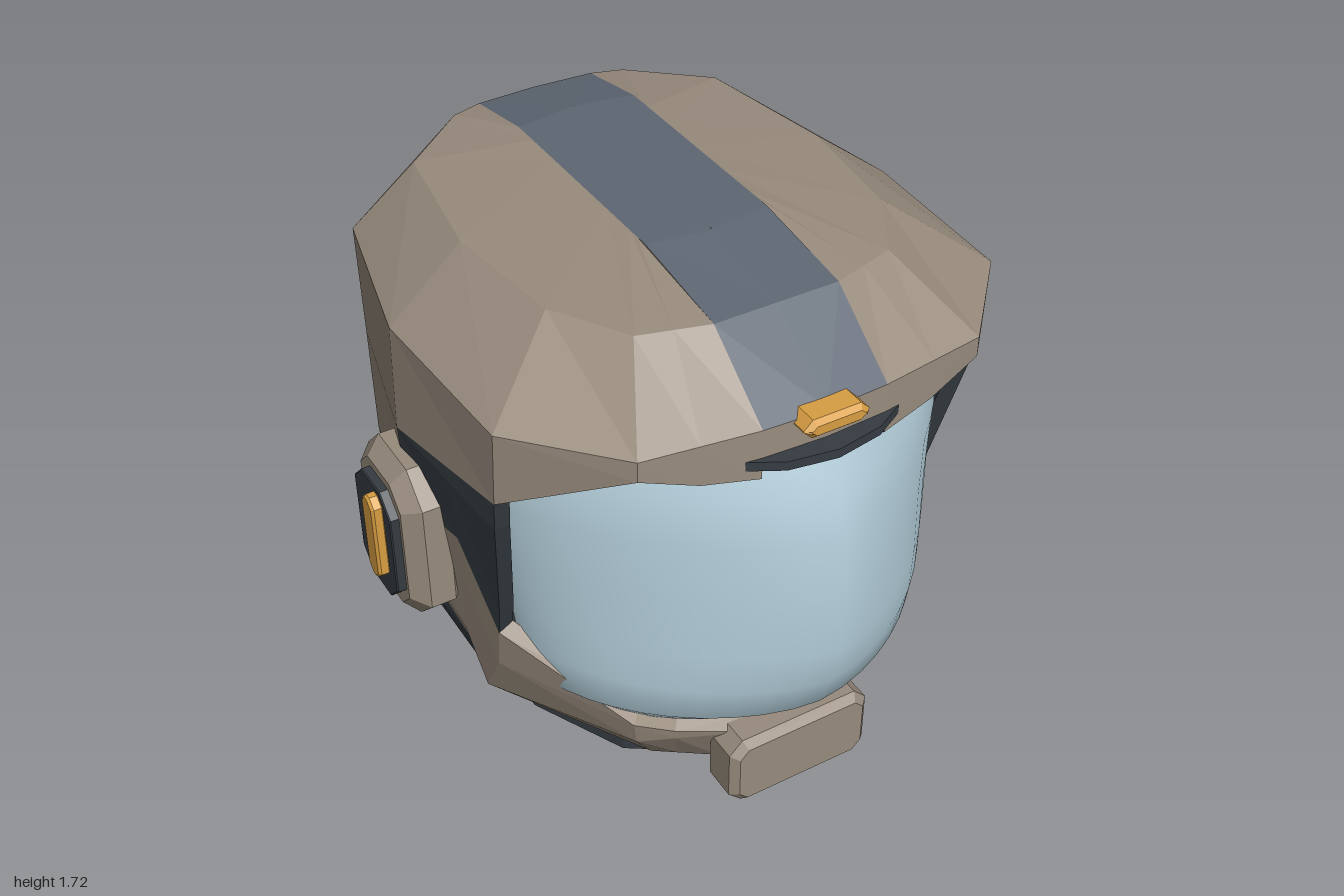
import * as THREE from 'three';

const mat = (name, color, side = THREE.DoubleSide) =>
  Object.assign(new THREE.MeshStandardMaterial({ color, side }), { name });
const mix = THREE.MathUtils.lerp;
const COLS = [0, 1, 2, 3, 4, 5, 6, 7, 8];

// Shell half outlines, columns running from front centre (0) round to back centre (8).
// Columns 1 and 7 keep to the stripe edge, so only the x of columns 2 to 6 is listed.
const outline = (y, xs, zs) => ({ y, points: [0, .2, ...xs, .2, 0].map((x, i) => [x, zs[i]]) });
const round = (y, rx, r, z) => ({ y, points: COLS.map((i) => [rx(i), z + r * Math.cos(i * Math.PI / 8)]) });
const RINGS = [
  round(.04, (i) => .36 * Math.sin(i * Math.PI / 8), .42, -.07),
  outline(.06, [.37, .5, .565, .45, .26], [.66, .62, .5, .25, -.2, -.48, -.64, -.68, -.71]),
  outline(.24, [.47, .75, .685, .575, .33], [.72, .71, .59, .14, -.2, -.57, -.755, -.79, -.805]),
  outline(.44, [.51, .76, .8, .7, .4], [.76, .74, .63, .26, -.2, -.65, -.86, -.9, -.905]),
  outline(.73, [.55, .78, .83, .73, .42], [.82, .81, .72, .34, -.15, -.64, -.86, -.9, -.905]),
  outline(1.13, [.55, .82, .86, .74, .42], [.83, .82, .76, .44, -.12, -.62, -.86, -.9, -.91]),
  outline(1.48, [.55, .82, .85, .73, .42], [.82, .81, .76, .47, -.12, -.66, -.91, -.96, -.96]),
  outline(1.67, [.41, .55, .6, .53, .3], [.56, .56, .5, .27, -.15, -.62, -.82, -.85, -.86]),
  round(1.72, (i) => (i % 8 ? .2 : 0), .415, -.185),
  round(1.721, () => 0, .415, -.185),
];

// Point on the shell at column u and height y
function surf(u, y) {
  let k = 0;
  while (k < RINGS.length - 2 && y > RINGS[k + 1].y) k++;
  const low = RINGS[k], high = RINGS[k + 1];
  const t = (y - low.y) / (high.y - low.y);
  const i = Math.min(7, Math.floor(u)), f = u - i;
  const at = (c) => mix(mix(low.points[i][c], low.points[i + 1][c], f),
    mix(high.points[i][c], high.points[i + 1][c], f), t);
  return [at(0), y, at(1)];
}
const inset = ([x, y, z]) => [x * .93, Math.min(y + .02, .85 + (y - .85) * .95), z * .95];

// Adds a quad and its mirror image
function quad(out, a, b, c, d) {
  const m = ([x, y, z]) => [-x, y, z];
  for (const t of [[a, b, c], [a, c, d], [m(c), m(b), m(a)], [m(d), m(c), m(a)]]) {
    const [p, q, r] = t.map((v) => new THREE.Vector3(...v));
    if (q.clone().sub(p).cross(r.clone().sub(p)).length() > 1e-7) out.push(...t.flat());
  }
}

// Panel from columns [u, low, high], split where it crosses the rings
function panel(out, cols, place = (p) => p) {
  const rows = cols.map(([u, lo, hi]) =>
    [lo, ...RINGS.map((r) => Math.min(hi, Math.max(lo, r.y))), hi].map((y) => place(surf(u, y))));
  for (let i = 0; i + 1 < rows.length; i++)
    for (let j = 0; j + 1 < rows[i].length; j++)
      quad(out, rows[i][j], rows[i + 1][j], rows[i + 1][j + 1], rows[i][j + 1]);
}

function flatGeometry(out) {
  const g = new THREE.BufferGeometry();
  g.setAttribute('position', new THREE.Float32BufferAttribute(out, 3));
  g.computeVertexNormals();
  return g;
}

// Bevelled plate with cut corners, growing along +z from its base
function plate(w, h, d, cut, bevel) {
  const x = w / 2, y = h / 2;
  const s = new THREE.Shape([[-x + cut, -y], [x - cut, -y], [x, -y + cut], [x, y - cut],
    [x - cut, y], [-x + cut, y], [-x, y - cut], [-x, -y + cut]].map((p) => new THREE.Vector2(...p)));
  return new THREE.ExtrudeGeometry(s, { depth: d - 2 * bevel, bevelEnabled: true, bevelSegments: 1,
    bevelSize: bevel, bevelThickness: bevel, bevelOffset: -bevel }).translate(0, 0, bevel);
}

// Flat slab of a plan shape (drawn with y = -z), standing on its base
const slab = (shape, height) =>
  new THREE.ExtrudeGeometry(shape, { depth: height, bevelEnabled: false }).rotateX(-Math.PI / 2);

export function createModel() {
  const model = new THREE.Group();
  model.name = 'helmet';
  const taupe = mat('taupe shell', 0x988b7d), dark = mat('dark panel', 0x353c42);
  const slate = mat('slate stripe', 0x5d6672), glass = mat('pale blue glass', 0xb5d0dc);
  const amber = mat('amber trim', 0xd89e42, THREE.FrontSide), black = mat('black base', 0x2e3032, THREE.FrontSide);
  const add = (name, geo, material, x = 0, y = 0, z = 0, ry = 0, parent = model) => {
    const mesh = new THREE.Mesh(geo, material);
    mesh.name = name;
    mesh.position.set(x, y, z);
    mesh.rotation.y = ry;
    parent.add(mesh);
  };

  // Shell panels, each listed as columns of [u, low, high]
  const T = 1.72;
  const panels = {
    hood: [taupe, [
      [[0, 1.36, 1.48], [1, 1.36, 1.48]],
      [[1, 1.32, T], [1.5, 1.35, T], [2, 1.415, T], [3, 1.23, T], [4, 1.13, T]],
      [4, 5, 6, 7].map((u) => [u, .73, T]),
      [[7, .73, 1.1], [8, .73, 1.1]]]],
    crownStripe: [slate, [
      [[0, 1.48, T], [1, 1.48, T]],
      [[7, 1.1, T], [8, 1.1, T]],
      COLS.map((u) => [u, T, 1.721])]],
    sidePanels: [dark, [[[3, .61, 1.23], [3.43, .89, 1.187], [4, .84, 1.13]]]],
    chinGuard: [taupe, [[[0, .04, .25], [1, .04, .25], [1.6, .04, .28], [2, .04, .34],
      [3, .24, .61], [3.43, .38, .89], [4, .56, .84]]]],
    lowerShell: [dark, [
      [[2, .04, .04], [3, .04, .24], [3.43, .04, .38], [4, .04, .56]],
      [4, 5, 6, 7, 8].map((u) => [u, .04, .73])]],
  };
  const liner = [];
  for (const [name, [material, parts]] of Object.entries(panels)) {
    const out = [];
    for (const cols of parts) {
      panel(out, cols);
      panel(liner, cols, inset);
    }
    add(name, flatGeometry(out), material);
  }
  add('liner', flatGeometry(liner), dark);

  // Thickness of the face opening edge
  const rim = (name, material, edge) => {
    const out = [];
    for (let i = 0; i + 1 < edge.length; i++) {
      const a = surf(...edge[i]), b = surf(...edge[i + 1]);
      quad(out, a, b, inset(b), inset(a));
    }
    add(name, flatGeometry(out), material);
  };
  rim('openingRim', dark, [[0, 1.36], [1, 1.36], [1, 1.32], [1.5, 1.35], [2, 1.415], [3, 1.23], [3, 1.13], [3, .73], [3, .61]]);
  rim('chinLip', taupe, [[3, .61], [2, .34], [1.6, .28], [1, .25], [0, .25]]);

  // Visor: smooth bulging loft, rows of [y, front z, half width], squarer towards the chin
  const rows = [[1.37, .855, .71], [1.25, .905, .745], [1.1, .94, .75], [.9, .953, .735], [.7, .955, .715],
    [.55, .92, .7], [.42, .87, .68], [.33, .77, .6], [.26, .67, .52], [.2, .56, .42]];
  const N = 24, pos = [], idx = [];
  rows.forEach(([y, zf, w], j) => {
    const p = 1.4 + .6 * Math.max(0, 1 - y / .8);
    for (let i = 0; i <= N; i++) {
      const s = Math.sin((i / N - .5) * Math.PI);
      pos.push(w * s, y, .28 + (zf - .28) * Math.pow(Math.max(0, 1 - Math.abs(s) ** p), 1 / p));
      if (j && i < N) {
        const a = (j - 1) * (N + 1) + i, b = a + N + 1;
        idx.push(a, b, b + 1, a, b + 1, a + 1);
      }
    }
  });
  const visor = new THREE.BufferGeometry();
  visor.setAttribute('position', new THREE.Float32BufferAttribute(pos, 3));
  visor.setIndex(idx);
  visor.computeVertexNormals();
  add('visor', visor, glass);

  // Curved brow latch, front and back tabs, chin block
  const crescent = new THREE.Shape([[-.26, .8], [-.15, .78], [.15, .78], [.26, .8], [.15, .86], [0, .885], [-.15, .86]]
    .map(([x, z]) => new THREE.Vector2(x, -z)));
  add('browLatch', slab(crescent, .03), dark, 0, 1.36, 0);
  add('frontTab', plate(.21, .06, .1, .028, .015), amber, 0, 1.47, .775);
  add('backTab', plate(.2, .045, .06, .02, .01), amber, 0, .9, -.885, Math.PI);
  add('chinBlock', plate(.5, .26, .16, .045, .025), taupe, 0, .135, .635);

  // Ear pods
  for (const s of [1, -1]) {
    const pod = new THREE.Group();
    pod.name = s > 0 ? 'leftEarPod' : 'rightEarPod';
    pod.position.set(0, .77, -.115);
    model.add(pod);
    const ry = s * Math.PI / 2;
    add('earHousing', plate(.39, .565, .18, .095, .05), taupe, s * .755, 0, 0, ry, pod);
    add('earPad', plate(.26, .41, .04, .065, .004), dark, s * .925, 0, 0, ry, pod);
    add('earLight', plate(.08, .31, .04, .028, .008), amber, s * .96, .035, .045, ry, pod);
  }

  // Oval neck ring with its opening and collar
  const oval = (path, rx, rz) => path.setFromPoints(Array.from({ length: 12 }, (_, i) =>
    new THREE.Vector2(rx * Math.cos((i + .5) * Math.PI / 6), rz * Math.sin((i + .5) * Math.PI / 6))));
  const ring = oval(new THREE.Shape(), .6, .69);
  ring.holes.push(oval(new THREE.Path(), .32, .37));
  add('neckRing', slab(ring, .055), [black, dark], 0, .025, -.07);
  const collar = new THREE.CylinderGeometry(1, 1, .1, 12, 1, true).rotateY(Math.PI / 12).scale(.32, 1, .37);
  add('neckCollar', collar, slate, 0, .1, -.07);
  return model;
}
